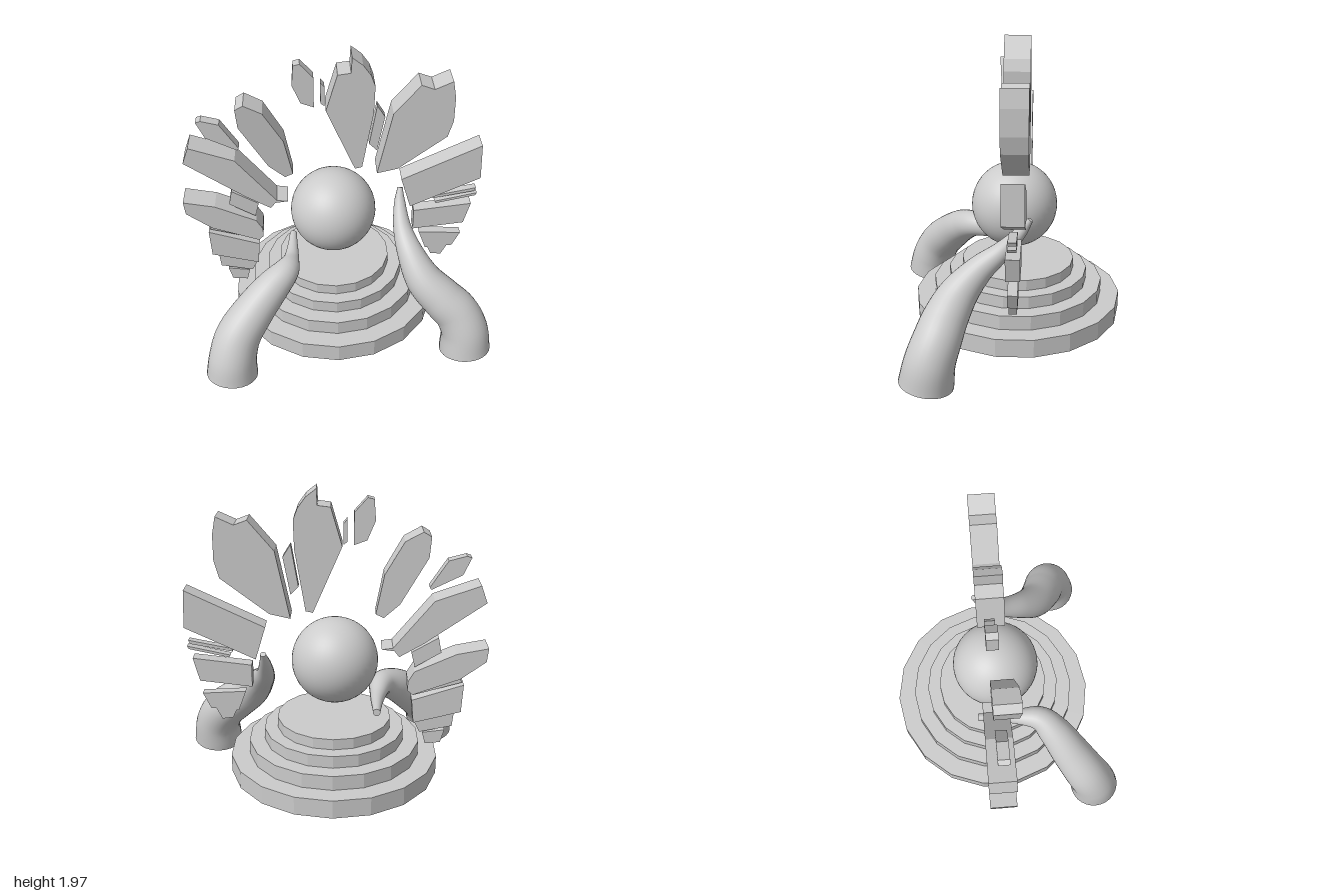
import * as THREE from 'three';

const material = new THREE.MeshStandardMaterial({ color: 0xcccccc });
const facetedMaterial = new THREE.MeshStandardMaterial({ color: 0xcccccc, flatShading: true });

// Flat crystal slab: front outline (x, y pairs) extruded from z0 to z1;
// lean pushes the front face forward with height above y = 1.13
function shard(name, z0, z1, outline, lean = 0) {
  const points = [];
  for (let i = 0; i < outline.length; i += 2) points.push(new THREE.Vector2(outline[i], outline[i + 1]));
  const geometry = new THREE.ExtrudeGeometry(new THREE.Shape(points), { depth: z1 - z0, bevelEnabled: false });
  const pos = geometry.attributes.position;
  for (let i = 0; i < pos.count; i++) {
    if (pos.getZ(i) > 0) pos.setZ(i, pos.getZ(i) + lean * (pos.getY(i) - 1.13));
  }
  geometry.translate(0, 0, z0);
  geometry.computeVertexNormals();
  const mesh = new THREE.Mesh(geometry, facetedMaterial);
  mesh.name = name;
  return mesh;
}

// Smooth tapering arm through stations of [x, y, z, radius], capped at both ends
function taperedArm(name, stations) {
  const group = new THREE.Group();
  group.name = name;
  const curve = new THREE.CatmullRomCurve3(stations.map(([x, y, z]) => new THREE.Vector3(x, y, z)));
  const radii = new THREE.SplineCurve(stations.map((s) => new THREE.Vector2(s[3], 0)));
  const steps = 48, sides = 28;
  const geometry = new THREE.TubeGeometry(curve, steps, 1, sides);
  const pos = geometry.attributes.position;
  const v = new THREE.Vector3();
  for (let i = 0; i <= steps; i++) {
    const centre = curve.getPointAt(i / steps);
    const radius = radii.getPoint(curve.getUtoTmapping(i / steps)).x;
    for (let j = 0; j <= sides; j++) {
      const k = i * (sides + 1) + j;
      v.fromBufferAttribute(pos, k).sub(centre).multiplyScalar(radius).add(centre);
      pos.setXYZ(k, v.x, v.y, v.z);
    }
  }
  const body = new THREE.Mesh(geometry, material);
  body.name = name + 'Body';
  group.add(body);
  for (const [end, sign] of [[0, -1], [1, 1]]) {
    const radius = stations[end ? stations.length - 1 : 0][3];
    const cap = new THREE.Mesh(new THREE.CircleGeometry(radius, sides), material);
    cap.name = name + (end ? 'TipCap' : 'BaseCap');
    cap.position.copy(curve.getPointAt(end));
    cap.quaternion.setFromUnitVectors(new THREE.Vector3(0, 0, 1), curve.getTangentAt(end).multiplyScalar(sign));
    group.add(cap);
  }
  return group;
}

export function createModel() {
  const model = new THREE.Group();
  model.name = 'orbShrine';

  // Stepped round platform
  const platform = new THREE.Group();
  platform.name = 'steppedPlatform';
  const tiers = [[0.677, 0.09, 0.21], [0.556, 0.21, 0.305], [0.455, 0.305, 0.385], [0.368, 0.385, 0.455]];
  tiers.forEach(([radius, y0, y1], i) => {
    const tier = new THREE.Mesh(new THREE.CylinderGeometry(radius, radius, y1 - y0, 18), facetedMaterial);
    tier.name = 'platformTier' + (i + 1);
    tier.position.set(-0.02, (y0 + y1) / 2, -0.083);
    platform.add(tier);
  });
  model.add(platform);

  // Floating orb
  const orb = new THREE.Mesh(new THREE.SphereGeometry(0.277, 40, 28), material);
  orb.name = 'orb';
  orb.position.set(-0.025, 0.83, -0.06);
  model.add(orb);

  // Two arms curling from the ground around the orb
  model.add(taperedArm('rightArm', [
    [-0.71, 0.01, 0.59, 0.165], [-0.70, 0.13, 0.57, 0.153], [-0.66, 0.26, 0.51, 0.145],
    [-0.55, 0.39, 0.41, 0.13], [-0.43, 0.495, 0.31, 0.11], [-0.345, 0.54, 0.22, 0.085],
    [-0.31, 0.515, 0.06, 0.05], [-0.295, 0.52, -0.2, 0.024],
  ]));
  model.add(taperedArm('leftArm', [
    [0.83, 0.01, 0.435, 0.168], [0.82, 0.155, 0.41, 0.155], [0.765, 0.27, 0.37, 0.147],
    [0.67, 0.36, 0.33, 0.138], [0.555, 0.465, 0.26, 0.12], [0.475, 0.59, 0.14, 0.088],
    [0.43, 0.70, 0.0, 0.06], [0.42, 0.83, -0.12, 0.036], [0.425, 0.905, -0.17, 0.018],
  ]));

  // Halo of crystal shards, clockwise from lower right to lower left
  const halo = new THREE.Group();
  halo.name = 'shardHalo';
  halo.add(
    shard('lowestRightShard', -0.1, -0.05, [-0.745, 0.35, -0.6, 0.33, -0.62, 0.25, -0.72, 0.26]),
    shard('smallLowerRightShard', -0.11, -0.04, [-0.8, 0.49, -0.54, 0.42, -0.58, 0.34, -0.79, 0.385]),
    shard('lowerRightShard', -0.14, -0.02, [-0.85, 0.69, -0.52, 0.58, -0.535, 0.42, -0.84, 0.5]),
    shard('rightSliver', -0.12, -0.04, [-0.82, 0.74, -0.52, 0.625, -0.535, 0.61, -0.84, 0.7]),
    shard('rightShard', -0.165, 0, [
      -0.99, 0.95, -0.79, 0.91, -0.53, 0.79, -0.49, 0.72, -0.49, 0.66, -0.52, 0.63, -0.82, 0.74, -0.98, 0.86]),
    shard('smallRightShard', -0.11, -0.04, [-0.68, 1.0, -0.51, 0.9, -0.535, 0.8, -0.7, 0.9]),
    shard('upperRightShard', -0.165, 0, [
      -0.92, 1.36, -0.64, 1.26, -0.39, 0.95, -0.32, 0.94, -0.4, 0.93, -0.43, 0.89, -0.58, 0.98, -0.96, 1.25]),
    shard('smallUpperRightShard', -0.105, -0.035, [
      -0.83, 1.53, -0.72, 1.5, -0.61, 1.33, -0.62, 1.315, -0.81, 1.41, -0.86, 1.52]),
    shard('tallRightShard', -0.11, 0, [
      -0.56, 1.68, -0.45, 1.62, -0.33, 1.41, -0.28, 1.155, -0.33, 1.13, -0.43, 1.22, -0.6, 1.52, -0.61, 1.65], 0.1),
    shard('smallTopShard', -0.12, -0.05, [
      -0.26, 1.88, -0.22, 1.89, -0.14, 1.8, -0.14, 1.6, -0.22, 1.63, -0.27, 1.75]),
    shard('topSliver', -0.12, -0.06, [-0.1, 1.76, -0.075, 1.73, -0.075, 1.6, -0.1, 1.62]),
    shard('topShard', -0.16, 0, [
      0.085, 1.95, 0.15, 1.9, 0.2, 1.83, 0.225, 1.76, 0.22, 1.58, 0.155, 1.19, 0.11, 1.18, -0.07, 1.6, 0, 1.84, 0.08, 1.85]),
    shard('upperLeftSliver', -0.11, -0.05, [0.245, 1.6, 0.295, 1.52, 0.25, 1.28, 0.2, 1.33]),
    shard('tallLeftShard', -0.16, 0, [
      0.5, 1.76, 0.58, 1.73, 0.69, 1.78, 0.71, 1.67, 0.71, 1.51, 0.68, 1.4, 0.38, 1.17, 0.25, 1.14, 0.34, 1.57]),
    shard('leftShard', -0.145, -0.015, [0.41, 1.075, 0.91, 1.315, 0.92, 1.07, 0.475, 0.86]),
    shard('leftSliverA', -0.1, -0.05, [0.63, 0.915, 0.905, 0.97, 0.895, 0.945, 0.625, 0.895]),
    shard('leftSliverB', -0.1, -0.05, [0.64, 0.87, 0.915, 0.93, 0.905, 0.91, 0.65, 0.855]),
    shard('lowerLeftShard', -0.12, -0.035, [0.505, 0.81, 0.88, 0.855, 0.84, 0.7, 0.505, 0.66]),
    shard('smallLowerLeftShard', -0.105, -0.045, [0.55, 0.62, 0.83, 0.605, 0.78, 0.5, 0.6, 0.485]),
    shard('lowestLeftShard', -0.1, -0.05, [0.615, 0.485, 0.75, 0.5, 0.71, 0.42, 0.64, 0.43]),
  );
  model.add(halo);
  return model;
}
